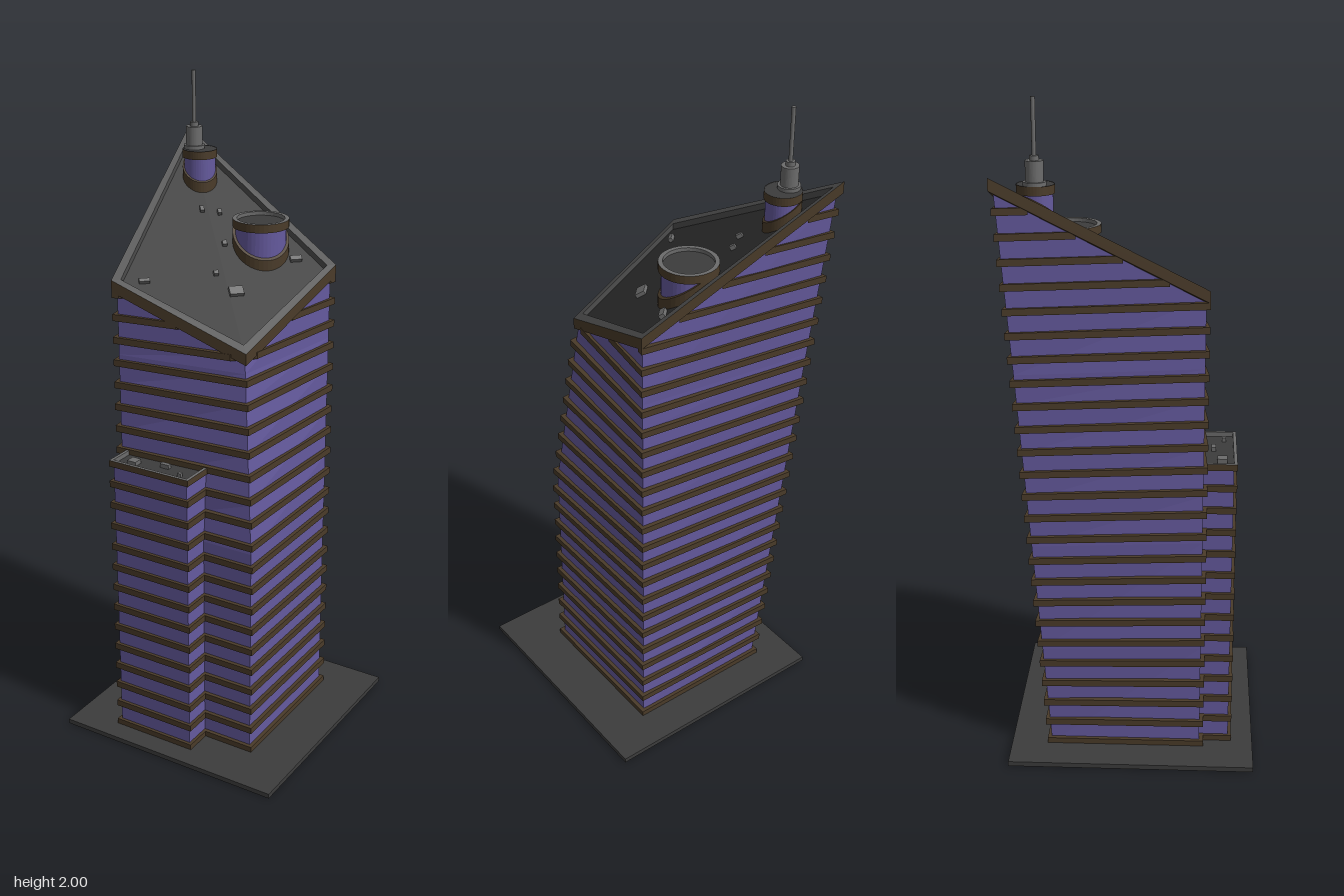
import * as THREE from 'three';

const mat = (color) => new THREE.MeshStandardMaterial({ color, flatShading: true });
const GLASS = mat(0x655a9e), BROWN = mat(0x4a3b29), DARK = mat(0x2b2b2b);
const PLATE = mat(0x3c3c3c), RIM = mat(0x4d4d4d), GREY = mat(0x6c6c6c);

// Sloping roof plane
const SLOPE = 0.467, ROOF = 1.451;
const roofY = (x, z) => ROOF - SLOPE * (x + z);

// Skin between loops of points (clockwise from above), with optional caps
function loft(loops, bottom = false, top = false) {
  const pos = [];
  const tri = (...pts) => pts.forEach((p) => pos.push(...p));
  for (let k = 0; k + 1 < loops.length; k++) {
    const a = loops[k], b = loops[k + 1], n = a.length;
    for (let i = 0; i < n; i++) {
      const j = (i + 1) % n;
      tri(a[i], b[i], a[j]);
      tri(a[j], b[i], b[j]);
    }
  }
  const lo = loops[0], hi = loops[loops.length - 1];
  for (let i = 1; i + 1 < lo.length; i++) {
    if (bottom) tri(lo[0], lo[i], lo[i + 1]);
    if (top) tri(hi[0], hi[i + 1], hi[i]);
  }
  const g = new THREE.BufferGeometry();
  g.setAttribute('position', new THREE.Float32BufferAttribute(pos, 3));
  g.computeVertexNormals();
  return g;
}

// Tower outline at height y: one corner leans out, the opposite one leans in above mid height
function outline(y, inset = 0) {
  const out = 0.26 + 0.0635 * y;
  const inn = 0.22 - 0.102 * Math.max(0, y - 0.7);
  return [
    [-out + inset, -out + inset], [0.22 - inset, -0.26 + inset],
    [inn - inset, inn - inset], [-0.26 + inset, 0.22 - inset],
  ];
}

// Tower outline where it meets the sloping roof, lowered by drop
function roofLoop(inset, drop) {
  const heights = [1.8, 1.47, 1.3, 1.47];
  return heights.map((h, i) => {
    const [x, z] = outline(h, inset)[i];
    return [x, roofY(x, z) - drop, z];
  });
}

// Keep the part of a polygon where x + z is below the limit
function clip(poly, limit) {
  const res = [];
  poly.forEach((p, i) => {
    const q = poly[(i + 1) % poly.length];
    const dp = p[0] + p[1] - limit, dq = q[0] + q[1] - limit;
    if (dp <= 0) res.push(p);
    if (dp * dq < 0) {
      const t = dp / (dp - dq);
      res.push([p[0] + (q[0] - p[0]) * t, p[1] + (q[1] - p[1]) * t]);
    }
  });
  return res;
}

const at = (poly, y) => poly.map(([x, z]) => [x, y, z]);
const rect = (x0, x1, z0, z1) => [[x0, z0], [x1, z0], [x1, z1], [x0, z1]];

export function createModel() {
  const model = new THREE.Group();
  const add = (name, geo, material, parent = model) => {
    const m = new THREE.Mesh(geo, material);
    m.name = name;
    parent.add(m);
    return m;
  };
  const group = (name) => {
    const g = new THREE.Group();
    g.name = name;
    model.add(g);
    return g;
  };
  const box = (name, w, h, d, x, y, z, material, parent) =>
    add(name, new THREE.BoxGeometry(w, h, d).translate(x, y, z), material, parent);

  box('basePlate', 0.745, 0.015, 0.745, 0, 0.0075, 0, PLATE);

  // Tower walls
  const levels = [0.012, 0.35, 0.7, 0.85, 1.0, 1.15, 1.24];
  add('towerGlass', loft([...levels.map((y) => at(outline(y, 0.012), y)), roofLoop(0.012, 0.022)]), GLASS);

  // Floor ledges on the tower and the front annex
  const ledges = group('towerLedges'), annex = group('annex');
  const ax0 = -0.225, ax1 = 0.053, az0 = 0.15, az1 = 0.307, annexTop = 0.942;
  for (let i = 0; i < 26; i++) {
    const y = 0.0225 + 0.0702 * i, y0 = y - 0.01, y1 = y + 0.01;
    const poly = clip(outline(y), (ROOF - y1 - 0.025) / SLOPE);
    if (poly.length > 2) add('towerLedge', loft([at(poly, y0), at(poly, y1)], true, true), BROWN, ledges);
    if (i < 13) add('annexLedge', loft([at(rect(ax0, ax1, az0, az1), y0), at(rect(ax0, ax1, az0, az1), y1)], true, true), BROWN, annex);
  }

  // Sloping roof: brown edge band, grey parapet and recessed floor
  add('roofEdge', loft([roofLoop(0.012, 0.035), roofLoop(0, 0.035), roofLoop(0, 0)]), BROWN);
  add('parapet', loft([roofLoop(0, 0), roofLoop(0.02, 0), roofLoop(0.02, 0.02)]), RIM);
  add('roofFloor', loft([roofLoop(0.02, 0.02)], false, true), DARK);

  // Annex body, parapet and roof units
  const i1 = 0.01;
  const body = rect(ax0 + i1, ax1 - i1, az0, az1 - i1);
  add('annexGlass', loft([at(body, 0.012), at(body, 0.925)], false, true), GLASS, annex);
  const outer = rect(ax0, ax1, az0, az1), inner = rect(ax0 + i1, ax1 - i1, az0 + i1, az1 - i1);
  add('annexEdge', loft([at(body, 0.922), at(outer, 0.922), at(outer, annexTop)]), BROWN, annex);
  add('annexParapet', loft([at(outer, annexTop), at(inner, annexTop), at(inner, 0.928)]), GREY, annex);
  add('annexRoof', loft([at(inner, 0.928)], false, true), PLATE, annex);
  for (const [x, z, w, d] of [[-0.165, 0.263, 0.03, 0.03], [-0.07, 0.238, 0.03, 0.014], [0.002, 0.27, 0.012, 0.012]])
    box('annexRoofUnit', w, 0.014, d, x, 0.934, z, GREY, annex);

  // Round roof pavilions: sloping skirt, glass drum and level top band
  const cyl = (r, y0, y1, x, z) =>
    new THREE.CylinderGeometry(r, r, y1 - y0, 40).translate(x, (y0 + y1) / 2, z);
  function pavilion(name, x, z, r, top, wall, lip) {
    const g = group(name), c = roofY(x, z) - 0.02;
    const skirt = new THREE.CylinderGeometry(r, r, 0.055, 40);
    const p = skirt.attributes.position;
    for (let i = 0; i < p.count; i++) p.setY(i, p.getY(i) - SLOPE * (p.getX(i) + p.getZ(i)));
    // keep the uphill side of the skirt below the top band
    for (let i = 0; i < p.count; i++) p.setY(i, Math.min(p.getY(i), top - 0.022 - c));
    add(name + 'Skirt', skirt.translate(x, c + 0.004, z), BROWN, g);
    add(name + 'Glass', cyl(r * 0.9, c - 0.04, top - 0.012, x, z), GLASS, g);
    const band = [[r * 0.85, top - 0.025], [r, top - 0.025], [r, top]].map((a) => new THREE.Vector2(...a));
    add(name + 'Band', new THREE.LatheGeometry(band, 40).translate(x, 0, z), BROWN, g);
    const rim = [[r, top], [r - wall, top], [r - wall, top - 0.012]].map((a) => new THREE.Vector2(...a));
    add(name + 'Rim', new THREE.LatheGeometry(rim, 40).translate(x, 0, z), lip, g);
    add(name + 'Roof', cyl(r - wall, top - 0.02, top - (wall > 0.005 ? 0.011 : 0.001), x, z), PLATE, g);
  }
  pavilion('largePavilion', 0.003, -0.185, 0.085, 1.6, 0.013, GREY);
  pavilion('smallPavilion', -0.26, -0.26, 0.053, 1.765, 0.002, RIM);

  // Stepped mast
  const mast = group('mast');
  for (const [name, r, y0, y1] of [
    ['mastFoot', 0.032, 1.76, 1.775], ['mastBase', 0.025, 1.77, 1.832],
    ['mastCollar', 0.013, 1.83, 1.845], ['antenna', 0.006, 1.84, 2],
  ]) add(name, cyl(r, y0, y1, -0.28, -0.26), GREY, mast);

  // Small roof units lying on the slope
  const units = group('roofUnits');
  const across = new THREE.Vector3(1, 0, -1).normalize();
  const normal = new THREE.Vector3(SLOPE, 1, SLOPE).normalize();
  const basis = new THREE.Matrix4().makeBasis(across, normal, across.clone().cross(normal));
  for (const [x, z, w, d] of [
    [-0.193, -0.165, 0.012, 0.018], [-0.147, -0.192, 0.012, 0.016], [-0.08, -0.112, 0.014, 0.016],
    [0.11, -0.21, 0.035, 0.017], [-0.048, -0.012, 0.014, 0.014], [0.028, -0.002, 0.042, 0.03],
    [-0.194, 0.147, 0.032, 0.012],
  ]) {
    const geo = new THREE.BoxGeometry(w, 0.016, d).applyMatrix4(basis);
    add('roofUnit', geo.translate(x, roofY(x, z) - 0.015, z), GREY, units);
  }
  return model;
}
